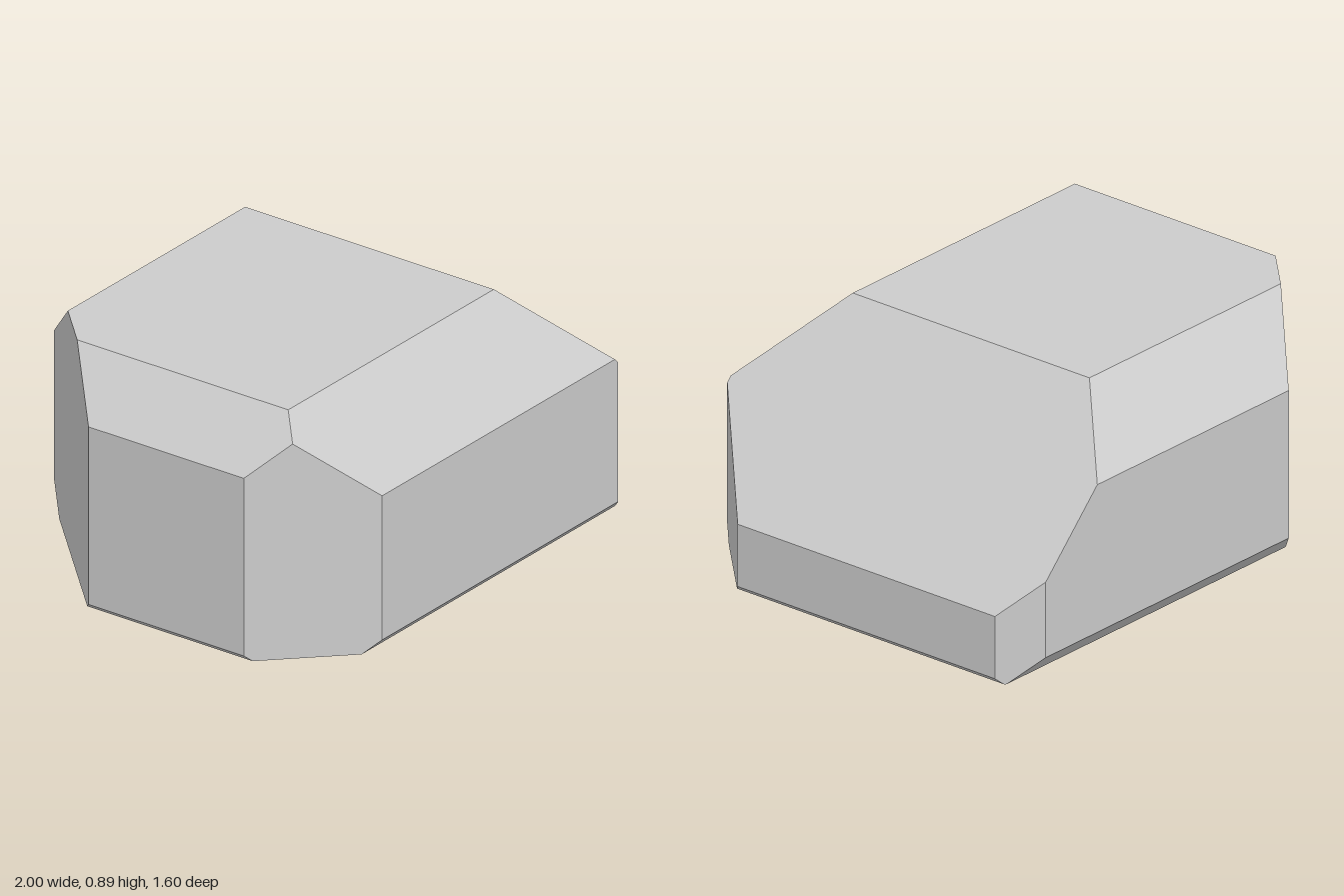
import * as THREE from 'three';

// Bounding planes of the block: normal (x, y, z) and limit, so that n . p <= limit
const PLANES = [
  // flat sides
  [1, 0, 0, 1], [-1, 0, 0, 1],
  [0, 1, 0, 0.893], [0, -1, 0, 0],
  [0, 0, 1, 0.8], [0, 0, -1, 0.8],
  // bevels between top or bottom and left or right
  [1, 1, 0, 1.256], [-1, 1, 0, 1.697], [1, -1, 0, 0.978], [-1, -1, 0, 0.978],
  // bevels between top or bottom and front or back
  [0, 1, 1, 1.398], [0, 1, -1, 1.45], [0, -1, 1, 0.75], [0, -1, -1, 0.705],
  // upright corner bevels
  [1, 0, 1, 1.477], [-1, 0, 1, 1.463], [1, 0, -1, 1.677], [-1, 0, -1, 1.2],
].map(([x, y, z, limit]) => ({ n: new THREE.Vector3(x, y, z), limit }));

// Every point where three planes meet and that lies inside all the others
function findCorners() {
  const corners = [];
  const cross = new THREE.Vector3();
  for (let i = 0; i < PLANES.length; i++)
    for (let j = i + 1; j < PLANES.length; j++)
      for (let k = j + 1; k < PLANES.length; k++) {
        const [a, b, c] = [PLANES[i], PLANES[j], PLANES[k]];
        const det = a.n.dot(cross.crossVectors(b.n, c.n));
        if (Math.abs(det) < 1e-6) continue;
        const p = cross.clone().multiplyScalar(a.limit)
          .addScaledVector(cross.crossVectors(c.n, a.n), b.limit)
          .addScaledVector(cross.crossVectors(a.n, b.n), c.limit)
          .divideScalar(det);
        const inside = PLANES.every(q => q.n.dot(p) <= q.limit + 1e-6);
        if (inside && !corners.some(q => q.distanceTo(p) < 1e-5)) corners.push(p);
      }
  return corners;
}

// One flat polygon per plane, its corners sorted counter-clockwise from outside
function bevelledBlockGeometry() {
  const corners = findCorners();
  const positions = [];
  for (const { n, limit } of PLANES) {
    const face = corners.filter(p => Math.abs(n.dot(p) - limit) < 1e-5);
    if (face.length < 3) continue;
    const centre = face.reduce((s, p) => s.add(p), new THREE.Vector3()).divideScalar(face.length);
    const u = face[0].clone().sub(centre).normalize();
    const v = n.clone().normalize().cross(u);
    const angle = p => {
      const d = p.clone().sub(centre);
      return Math.atan2(d.dot(v), d.dot(u));
    };
    face.sort((p, q) => angle(p) - angle(q));
    for (let i = 1; i < face.length - 1; i++)
      for (const p of [face[0], face[i], face[i + 1]]) positions.push(p.x, p.y, p.z);
  }
  const geometry = new THREE.BufferGeometry();
  geometry.setAttribute('position', new THREE.Float32BufferAttribute(positions, 3));
  geometry.computeVertexNormals();
  return geometry;
}

export function createModel() {
  const model = new THREE.Group();
  model.name = 'bevelledBlock';
  const block = new THREE.Mesh(
    bevelledBlockGeometry(),
    new THREE.MeshStandardMaterial({ color: 0xcccccc, flatShading: true }),
  );
  block.name = 'block';
  model.add(block);
  return model;
}
